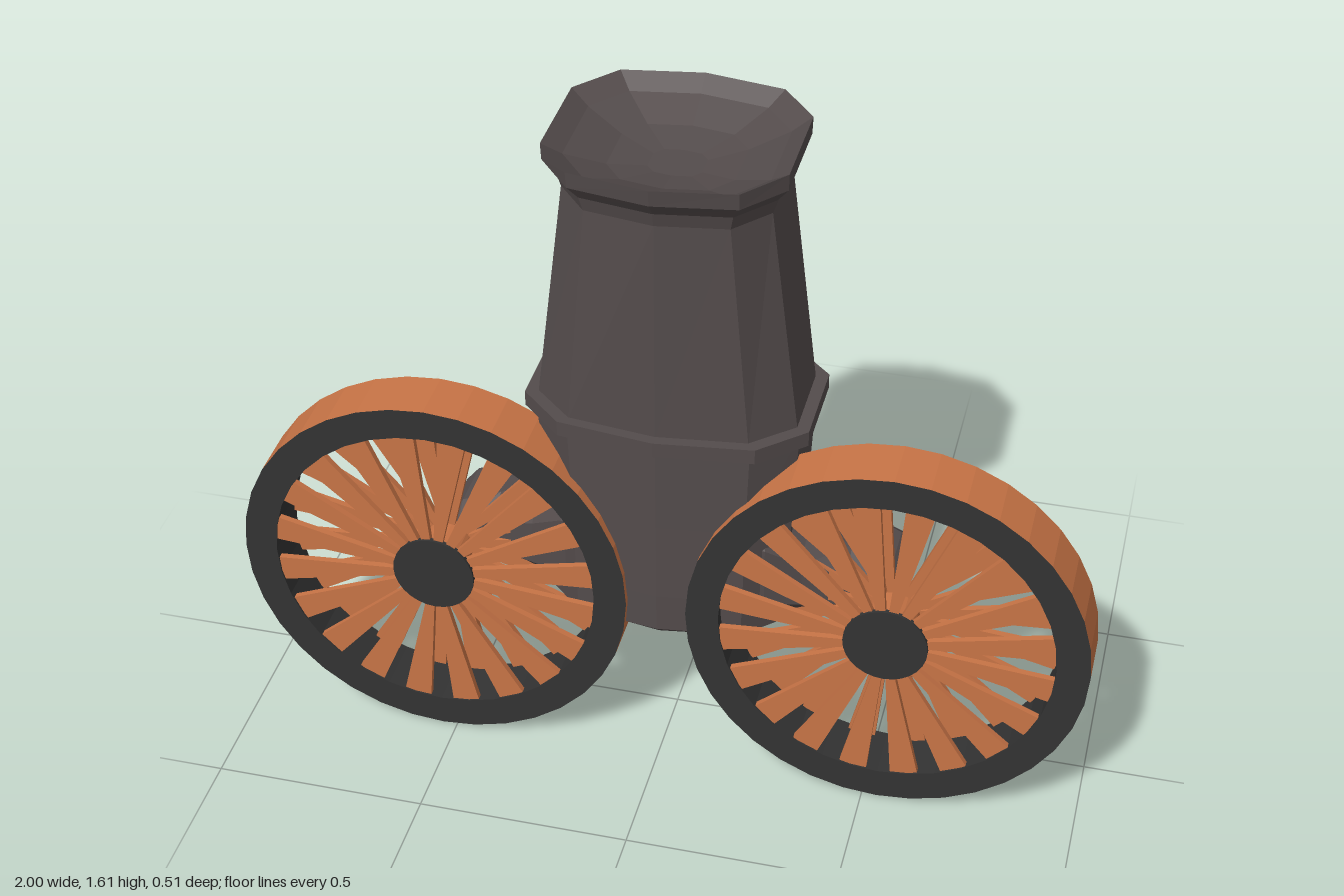
import * as THREE from 'three';

const iron = new THREE.MeshStandardMaterial({ color: 0x544c4c, flatShading: true, side: THREE.DoubleSide });
const black = new THREE.MeshStandardMaterial({ color: 0x333333, flatShading: true, side: THREE.DoubleSide });
const wood = new THREE.MeshStandardMaterial({ color: 0xc87446, flatShading: true, side: THREE.DoubleSide });

function add(parent, name, geometry, material) {
  const mesh = new THREE.Mesh(geometry, material);
  mesh.name = name;
  parent.add(mesh);
  return mesh;
}

// Skin a list of equal-length rings of [x, y, z]; both ends are closed.
function loft(rings) {
  const n = rings[0].length;
  const pos = rings.flat(2);
  const idx = [];
  for (let i = 0; i < rings.length - 1; i++) {
    for (let j = 0; j < n; j++) {
      const a = i * n + j, b = i * n + (j + 1) % n;
      idx.push(a, b, b + n, a, b + n, a + n);
    }
  }
  const last = (rings.length - 1) * n;
  for (let j = 1; j < n - 1; j++) {
    idx.push(0, j + 1, j);
    idx.push(last, last + j, last + j + 1);
  }
  const g = new THREE.BufferGeometry();
  g.setAttribute('position', new THREE.Float32BufferAttribute(pos, 3));
  g.setIndex(idx);
  g.computeVertexNormals();
  return g;
}

// Ten-sided outline with broad flanks, scaled to half-width rx and half-depth rz.
const outline = [[0, 1], [0.69, 0.88], [1, 0.48], [1, -0.48], [0.69, -0.88],
  [0, -1], [-0.69, -0.88], [-1, -0.48], [-1, 0.48], [-0.69, 0.88]];
const stack = (levels) => loft(levels.map(([y, rx, rz]) => outline.map(([x, z]) => [x * rx, y, z * rz])));

// Rounded, eight-cornered section of a side arm at a given x.
function armRing([x, y0, y1, z0, z1]) {
  const cy = (y1 - y0) * 0.28, cz = (z1 - z0) * 0.22;
  return [[x, y0, z0 + cz], [x, y0 + cy, z0], [x, y1 - cy, z0], [x, y1, z0 + cz],
    [x, y1, z1 - cz], [x, y1 - cy, z1], [x, y0 + cy, z1], [x, y0, z1 - cz]].reverse();
}

function disc(radius, hole) {
  const shape = new THREE.Shape().absarc(0, 0, radius, 0, Math.PI * 2);
  if (hole) shape.holes.push(new THREE.Path().absarc(0, 0, hole, 0, Math.PI * 2, true));
  return new THREE.ShapeGeometry(shape, 18);
}

function wheel(name) {
  const R = 0.465, r = 0.388, z0 = 0.08, z1 = 0.214, depth = z1 - z0;
  const g = new THREE.Group();
  g.name = name;
  const tube = (rad) => new THREE.CylinderGeometry(rad, rad, depth, 36, 1, true)
    .rotateX(Math.PI / 2).translate(0, 0, (z0 + z1) / 2);
  add(g, 'rimTread', tube(R), wood);
  add(g, 'rimInside', tube(r), black);
  add(g, 'rimFront', disc(R, r).translate(0, 0, z1), black);
  add(g, 'rimBack', disc(R, r).translate(0, 0, z0), wood);
  add(g, 'hub', tube(0.06), wood);
  add(g, 'hubBack', disc(0.06).translate(0, 0, z0), wood);
  add(g, 'hubCap', new THREE.CylinderGeometry(0.098, 0.098, 0.012, 28)
    .rotateX(Math.PI / 2).translate(0, 0, z1 - 0.004), black);

  // Wedge spokes in a front and a back layer
  const wedge = new THREE.Shape([[0.03, -0.006], [0.392, -0.033], [0.392, 0.033], [0.03, 0.006]]
    .map(([x, y]) => new THREE.Vector2(x, y)));
  const spoke = new THREE.ExtrudeGeometry(wedge, { depth: 0.015, bevelEnabled: false });
  for (let i = 0; i < 20; i++) {
    for (const z of [z0 + 0.002, z1 - 0.019]) {
      const s = add(g, 'spoke', spoke, wood);
      s.position.z = z;
      s.rotation.z = (i + 0.5) * Math.PI / 10;
    }
  }
  return g;
}

export function createModel() {
  const model = new THREE.Group();
  model.name = 'wheeledMortar';

  // Barrel with flared mouth and a dished bowl
  add(model, 'barrel', stack([[0.95, 0.297, 0.212], [1.5, 0.23, 0.212], [1.535, 0.24, 0.222],
    [1.57, 0.266, 0.25], [1.61, 0.267, 0.256], [1.58, 0.225, 0.215], [1.545, 0.14, 0.135],
    [1.53, 0.06, 0.055]]), iron);
  add(model, 'band', stack([[0.92, 0.325, 0.237], [0.957, 0.325, 0.237]]), iron);
  // Breech
  add(model, 'breech', stack([[0.375, 0.2, 0.18], [0.4, 0.28, 0.205], [0.5, 0.285, 0.208],
    [0.7, 0.29, 0.208], [0.93, 0.302, 0.212]]), iron);

  // Tapering arms that carry the wheels
  const armStations = [[0.1, 0.375, 0.78, -0.205, 0.17], [0.24, 0.38, 0.73, -0.203, 0.15],
    [0.32, 0.39, 0.655, -0.175, 0.115], [0.42, 0.41, 0.595, -0.15, 0.085],
    [0.515, 0.425, 0.555, -0.14, 0.083], [0.54, 0.445, 0.53, -0.12, 0.08]];
  for (const side of [1, -1]) {
    const label = side > 0 ? 'left' : 'right';
    const rings = armStations.map(armRing)
      .map((ring) => side > 0 ? ring : ring.map(([x, y, z]) => [-x, y, z]).reverse());
    add(model, label + 'Arm', loft(rings), iron);
    const w = wheel(label + 'Wheel');
    w.position.set(side * 0.535, 0.467, 0);
    model.add(w);
  }
  return model;
}
